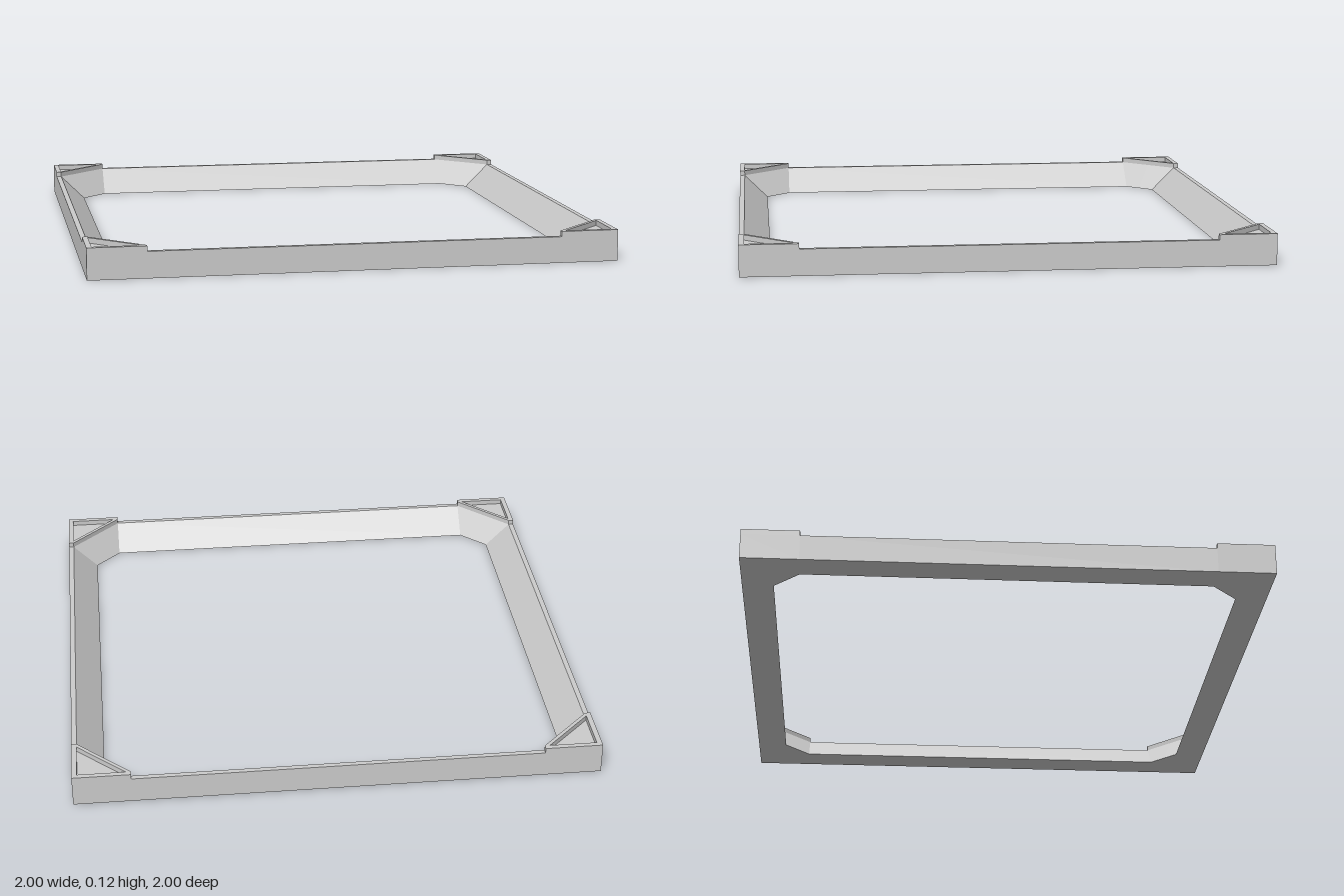
import * as THREE from 'three';

const material = new THREE.MeshStandardMaterial({ color: 0xcccccc, flatShading: true });
const WALL = 0.1;  // height of the frame walls
const LIP = 0.02;  // thickness of the top edge and height of the corner rims
const CUT = 0.78;  // where the corner braces begin

// Square frame with sloping inner walls, swept from quad cross-sections
function frameGeometry() {
  // Each station: outer x, z, inner top x, z, inner bottom x, z
  const corner = [
    [CUT, 1, CUT, 0.98, CUT, 0.88],
    [1, 1, 0.88, 0.88, 0.83, 0.83],
    [1, CUT, 0.98, CUT, 0.88, CUT],
  ];
  const sections = [];
  for (let k = 0; k < 4; k++) {
    const turn = (x, y, z) =>
      new THREE.Vector3(x, y, z).applyAxisAngle(new THREE.Vector3(0, 1, 0), k * Math.PI / 2);
    for (const [ox, oz, tx, tz, bx, bz] of corner) {
      sections.push([turn(ox, 0, oz), turn(bx, 0, bz), turn(tx, WALL, tz), turn(ox, WALL, oz)]);
    }
  }
  const points = [];
  sections.forEach((a, s) => {
    const b = sections[(s + 1) % sections.length];
    for (let j = 0; j < 4; j++) {
      const n = (j + 1) % 4;
      points.push(a[j], a[n], b[n], a[j], b[n], b[j]);
    }
  });
  const geometry = new THREE.BufferGeometry().setFromPoints(points);
  geometry.computeVertexNormals();
  return geometry;
}

// Raised triangular rim around a shallow corner recess
function rimGeometry() {
  const v = (x, y) => new THREE.Vector2(x, y);
  const inner = 1 - LIP;
  const shape = new THREE.Shape([v(1, 1), v(CUT, 1), v(CUT, inner), v(inner, CUT), v(1, CUT)]);
  shape.holes.push(new THREE.Path([v(inner, inner), v(inner, CUT + LIP), v(CUT + LIP, inner)]));
  return new THREE.ExtrudeGeometry(shape, { depth: LIP, bevelEnabled: false })
    .rotateX(-Math.PI / 2)
    .translate(0, WALL, 0);
}

export function createModel() {
  const group = new THREE.Group();
  group.name = 'squareFrame';

  const frame = new THREE.Mesh(frameGeometry(), material);
  frame.name = 'frameWalls';
  group.add(frame);

  // One rim on each corner
  const rim = rimGeometry();
  ['backLeft', 'backRight', 'frontRight', 'frontLeft'].forEach((place, k) => {
    const mesh = new THREE.Mesh(rim, material);
    mesh.name = place + 'CornerRim';
    mesh.rotation.y = k * Math.PI / 2;
    group.add(mesh);
  });
  return group;
}
